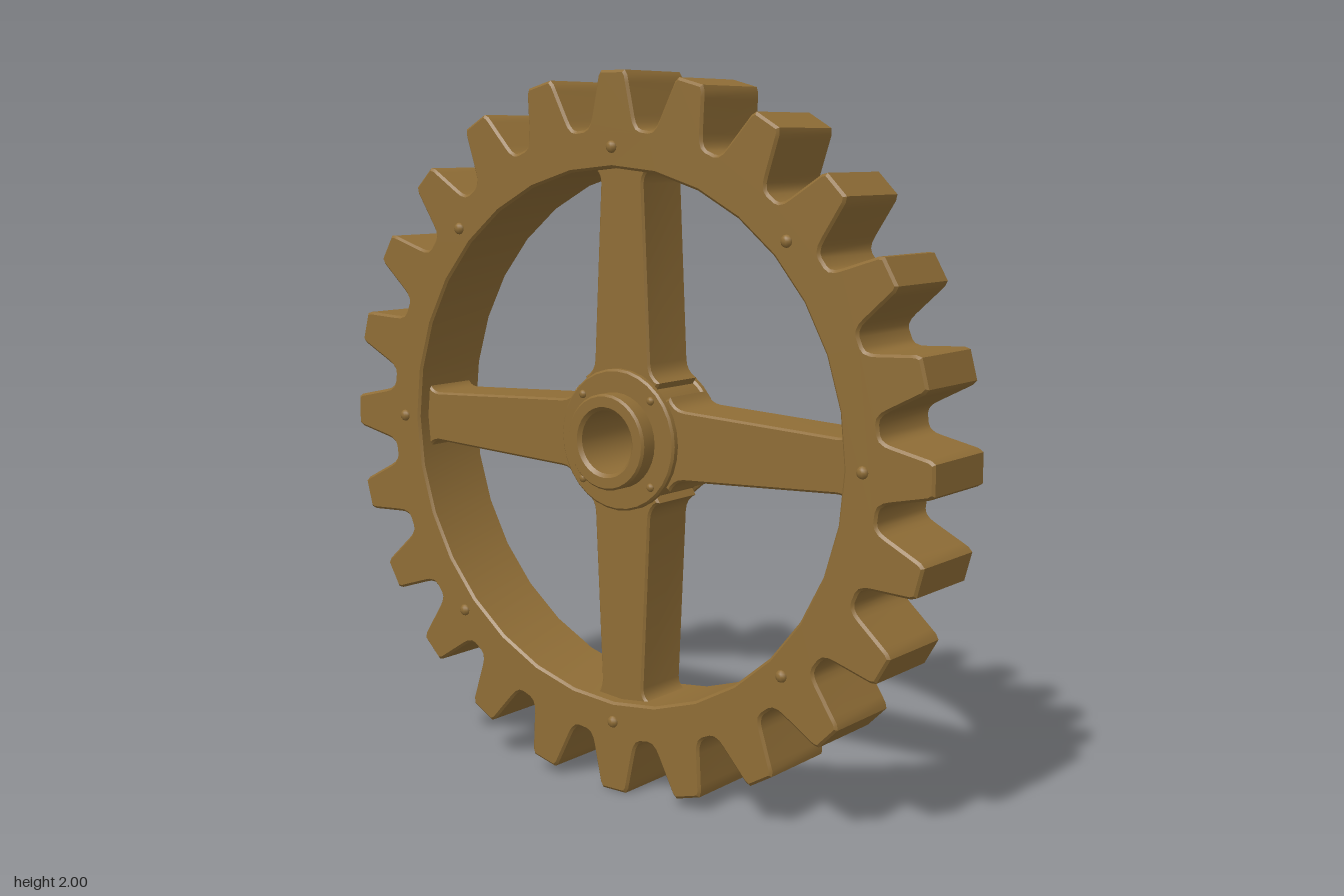
import * as THREE from 'three';
import { toCreasedNormals } from 'three/addons/utils/BufferGeometryUtils.js';

const TEETH = 24;

// Extrude a shape centred on z, with a small bevel that keeps the outline size
function slab(shape, halfDepth, bevel, curveSegments = 4) {
  const geo = new THREE.ExtrudeGeometry(shape, {
    depth: 2 * (halfDepth - bevel), curveSegments, bevelEnabled: true,
    bevelThickness: bevel, bevelSize: bevel, bevelOffset: -bevel, bevelSegments: 1,
  });
  geo.translate(0, 0, -(halfDepth - bevel));
  return toCreasedNormals(geo, 0.6);
}

// Toothed outline with a round opening
function gearShape() {
  // Half a tooth, as (sideways, outward), from the root to the tip
  const half = [[0.098, 0.842], [0.086, 0.848], [0.077, 0.862], [0.072, 0.88],
    [0.053, 0.968], [0.049, 0.986], [0.04, 1.0]];
  const tooth = [...half, ...half.slice().reverse().map(([s, r]) => [-s, r])];
  const points = [];
  for (let i = 0; i < TEETH; i++) {
    const a = (i / TEETH) * Math.PI * 2;
    for (const [s, r] of tooth) {
      points.push(new THREE.Vector2(r * Math.cos(a) + s * Math.sin(a), r * Math.sin(a) - s * Math.cos(a)));
    }
  }
  const shape = new THREE.Shape(points);
  const hole = new THREE.Path();
  hole.absarc(0, 0, 0.742, 0, Math.PI * 2, true);
  shape.holes.push(hole);
  return shape;
}

// Tapered spoke pointing up, flared where it meets the hub and rim
function spokeShape() {
  const s = new THREE.Shape();
  s.moveTo(-0.1, 0.12);
  s.lineTo(0.1, 0.12);
  s.lineTo(0.13, 0.165);
  s.quadraticCurveTo(0.098, 0.18, 0.096, 0.215);
  s.lineTo(0.073, 0.7);
  s.quadraticCurveTo(0.074, 0.73, 0.1, 0.738);
  s.lineTo(0.1, 0.76);
  s.lineTo(-0.1, 0.76);
  s.lineTo(-0.1, 0.738);
  s.quadraticCurveTo(-0.074, 0.73, -0.073, 0.7);
  s.lineTo(-0.096, 0.215);
  s.quadraticCurveTo(-0.098, 0.18, -0.13, 0.165);
  s.closePath();
  return s;
}

export function createModel() {
  const bronze = new THREE.MeshStandardMaterial({ color: 0x8f6d36 });
  bronze.name = 'bronze';

  const gear = new THREE.Group();
  gear.name = 'gearWheel';
  const add = (name, geo) => {
    const mesh = new THREE.Mesh(geo, bronze);
    mesh.name = name;
    gear.add(mesh);
    return mesh;
  };

  add('toothedRim', slab(gearShape(), 0.128, 0.007, 16));

  // Four spokes
  const spokeGeo = slab(spokeShape(), 0.088, 0.006);
  for (let i = 0; i < 4; i++) add('spoke', spokeGeo).rotation.z = (i * Math.PI) / 2;

  // Hub: flange, raised collar and bore turned as one profile
  const side = [[0.19, 0.085], [0.197, 0.09], [0.197, 0.104], [0.191, 0.11], [0.133, 0.11],
    [0.133, 0.155], [0.127, 0.162], [0.098, 0.162], [0.088, 0.152]];
  const profile = [...side.slice().reverse().map(([r, z]) => [r, -z]), ...side, [0.088, -0.152]];
  const hubGeo = new THREE.LatheGeometry(profile.map(([r, z]) => new THREE.Vector2(r, z)), 32);
  hubGeo.rotateX(Math.PI / 2);
  add('hub', toCreasedNormals(hubGeo, 0.6));

  // Domed rivets on both faces of the rim and the hub flange
  const addRivets = (name, count, start, radius, z, size) => {
    const geo = new THREE.SphereGeometry(size, 10, 6);
    geo.scale(1, 1, 0.75);
    for (const face of [1, -1]) {
      for (let i = 0; i < count; i++) {
        const a = start + (i / count) * Math.PI * 2;
        add(name, geo).position.set(radius * Math.cos(a), radius * Math.sin(a), face * z);
      }
    }
  };
  addRivets('rimRivet', 8, 0, 0.798, 0.128, 0.017);
  addRivets('hubRivet', 4, Math.PI / 4, 0.168, 0.11, 0.012);

  gear.position.y = 1;
  const model = new THREE.Group();
  model.name = 'model';
  model.add(gear);
  return model;
}
